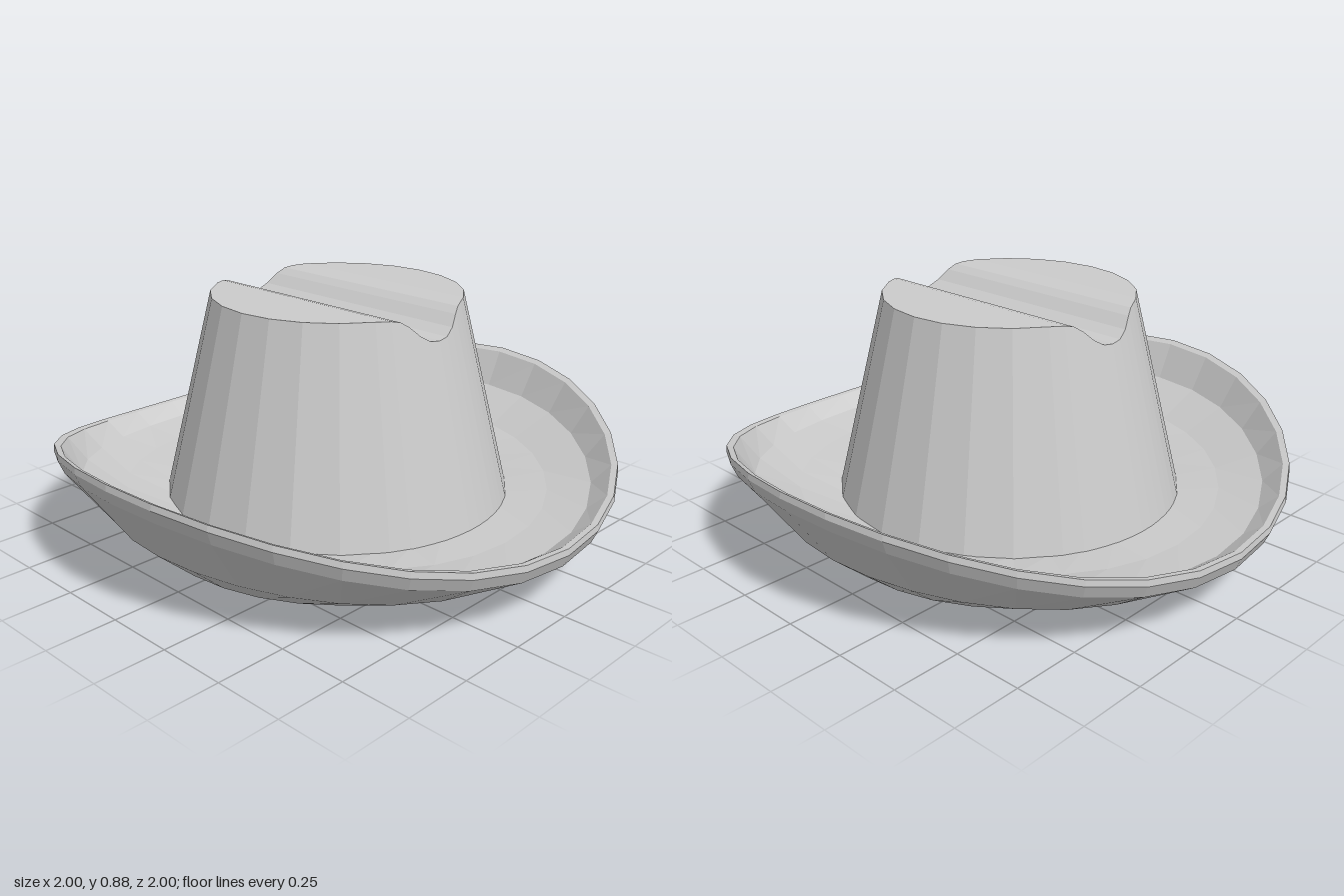
import * as THREE from 'three';

const material = new THREE.MeshStandardMaterial({ color: 0xcccccc, flatShading: true });

// Joins successive closed rings of points into a faceted surface.
function loft(rings, extra = []) {
  const pts = [];
  const tri = (...p) => p.forEach((v) => pts.push(...v));
  for (let i = 0; i < rings.length - 1; i++) {
    const a = rings[i], b = rings[i + 1], n = a.length;
    for (let j = 0; j < n; j++) {
      const k = (j + 1) % n;
      tri(a[j], a[k], b[k]);
      tri(a[j], b[k], b[j]);
    }
  }
  extra.forEach((t) => tri(...t));
  const g = new THREE.BufferGeometry();
  g.setAttribute('position', new THREE.Float32BufferAttribute(pts, 3));
  g.computeVertexNormals();
  return g;
}

const polar = (r, y, a) => [r * Math.sin(a), y, r * Math.cos(a)];

export function createModel() {
  const hat = new THREE.Group();
  hat.name = 'hat';
  const add = (geometry, name) => {
    const m = new THREE.Mesh(geometry, material);
    m.name = name;
    hat.add(m);
    return m;
  };

  // Brim: [radius, height at front and back, extra height at the sides],
  // from the underside opening, around the lip and back to the crown
  const brimProfile = [
    [0.577, 0, 0], [0.6, 0, 0], [0.68, 0.028, 0.004], [0.82, 0.075, 0.08],
    [0.98, 0.17, 0.22], [1, 0.215, 0.225], [0.997, 0.237, 0.225],
    [0.975, 0.235, 0.215], [0.91, 0.19, 0.13], [0.76, 0.175, 0.05], [0.6, 0.17, 0],
  ];
  const SIDES = 32;
  const brimRings = brimProfile.map(([r, y, lift]) =>
    Array.from({ length: SIDES }, (_, i) => {
      const a = (i / SIDES) * Math.PI * 2;
      return polar(r, y + lift * Math.sin(a) ** 2, a);
    }));
  add(loft(brimRings), 'brim');

  // Crown: tapered wall whose top edge dips where the crease runs front to back
  const quarter = [[0, 0.795], [5, 0.8], [10, 0.822], [15, 0.857], [19, 0.876], [23, 0.882],
    [30, 0.885], [45, 0.885], [60, 0.885], [75, 0.885], [90, 0.885]];
  const front = [...quarter.slice(1).reverse().map(([d, y]) => [-d, y]), ...quarter];
  const back = front.slice(1, -1).map(([d, y]) => [d + 180, y]);
  const edge = [...front, ...back].map(([d, y]) => [THREE.MathUtils.degToRad(d), y]);
  const bottom = edge.map(([a]) => polar(0.617, 0.168, a));
  const top = edge.map(([a, y]) => polar(0.44 + 0.25 * (0.885 - y), y, a));
  add(loft([bottom, top]), 'crownWall');

  // Creased top: strips running from the front edge to the back edge
  const last = front.length - 1;
  const strips = [];
  for (let i = 0; i < last; i++) {
    const f0 = top[i], f1 = top[i + 1];
    const b0 = [f0[0], f0[1], -f0[2]], b1 = [f1[0], f1[1], -f1[2]];
    strips.push([f0, f1, b1], [f0, b1, b0]);
  }
  add(loft([], strips), 'crownTop');

  // Hollow inside of the crown
  const ringOf = (r, y) => Array.from({ length: 24 }, (_, i) => polar(r, y, (i / 24) * Math.PI * 2));
  add(loft([ringOf(0, 0.75), ringOf(0.4, 0.75), ringOf(0.577, 0)]), 'crownLining');

  // Mounting tube hanging inside the crown
  add(loft([ringOf(0.265, 0.75), ringOf(0.265, 0.185), ringOf(0.355, 0.185), ringOf(0.355, 0.75)]),
    'innerTube');

  // Ribs joining the tube to the crown lining
  for (const side of [1, -1]) {
    const rib = add(new THREE.BoxGeometry(0.08, 0.2, 0.19), 'innerRib');
    rib.position.set(0, 0.285, side * 0.435);
  }
  return hat;
}
